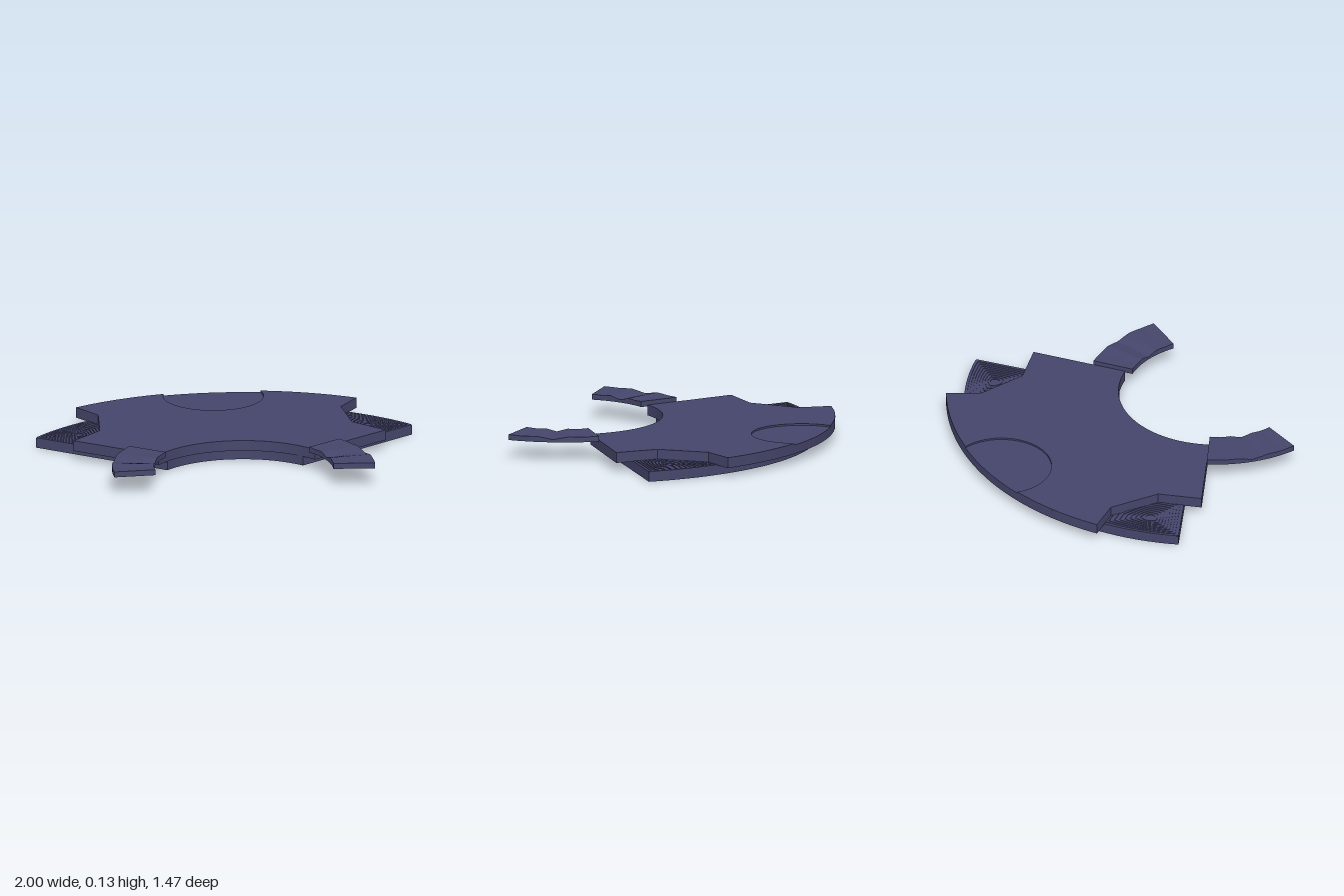
import * as THREE from 'three';

const material = new THREE.MeshStandardMaterial({ color: 0x45456b, flatShading: true });
const PIVOT = 0.685; // z of the centre shared by the upper plate and the arms

// points [x, z] along a circle centred on (0, cz), on its back half, from x0 to x1
function arc(cz, r, x0, x1, n = 40) {
  const a0 = Math.asin(x0 / r), a1 = Math.asin(x1 / r);
  return Array.from({ length: n + 1 }, (_, i) => {
    const a = a0 + ((a1 - a0) * i) / n;
    return [r * Math.sin(a), cz - r * Math.cos(a)];
  });
}

const mirror = (pts) => pts.map(([x, z]) => [-x, z]).reverse();

function add(group, name, geometry) {
  const mesh = new THREE.Mesh(geometry, material);
  mesh.name = name;
  group.add(mesh);
}

// flat plate with the given [x, z] outline between two heights
function plate(points, y0, y1) {
  const shape = new THREE.Shape(points.map(([x, z]) => new THREE.Vector2(x, -z)));
  const g = new THREE.ExtrudeGeometry(shape, { depth: y1 - y0, bevelEnabled: false });
  return g.rotateX(-Math.PI / 2).translate(0, y0, 0);
}

// distance from a centre to an outline in direction (dx, dz)
function reach(outline, cx, cz, dx, dz) {
  let best = Infinity;
  outline.forEach(([ax, az], i) => {
    const [bx, bz] = outline[(i + 1) % outline.length];
    const ex = bx - ax, ez = bz - az, det = dx * ez - dz * ex;
    if (Math.abs(det) < 1e-9) return;
    const t = ((ax - cx) * ez - (az - cz) * ex) / det;
    const u = ((ax - cx) * dz - (az - cz) * dx) / det;
    if (t > 0 && u >= -1e-6 && u <= 1 + 1e-6) best = Math.min(best, t);
  });
  return best;
}

// concentric ribs, round at the centre and following the wing outline further out
function ribbedWing(side) {
  const outline = [...arc(0.649, 1.3, 0.66, 1, 12), [0.74, 0.02], [0.6, -0.1], [0.6, -0.38]];
  const cx = 0.768, cz = -0.21, r0 = 0.025, low = 0.047, high = 0.055, ribs = 9, n = 96;
  const profile = [[0, low]];
  for (let i = 0; i < ribs; i++) {
    const t = i / ribs, end = i === ribs - 1 ? 1 : t + 0.75 / ribs;
    profile.push([t, high], [end, high], [end, low]);
    if (i < ribs - 1) profile.push([(i + 1) / ribs, low]);
  }
  const pos = [], index = [];
  for (const [t, y] of profile) {
    for (let j = 0; j < n; j++) {
      const a = (j / n) * Math.PI * 2, dx = Math.cos(a), dz = Math.sin(a);
      const r = r0 + t * (reach(outline, cx, cz, dx, dz) - r0);
      pos.push(side * (cx + r * dx), y, cz + r * dz);
    }
  }
  for (let i = 0; i < profile.length - 1; i++) {
    for (let j = 0; j < n; j++) {
      const a = i * n + j, d = i * n + ((j + 1) % n), b = a + n, c = d + n;
      if (side > 0) index.push(a, c, b, a, d, c);
      else index.push(a, b, c, a, c, d);
    }
  }
  const g = new THREE.BufferGeometry();
  g.setAttribute('position', new THREE.Float32BufferAttribute(pos, 3));
  g.setIndex(index);
  const flat = g.toNonIndexed();
  flat.computeVertexNormals();
  return flat;
}

// one curved segment of an arm: a box bent around the pivot, with an optional dip
function armSegment(side, from, to, dip) {
  const g = new THREE.BoxGeometry(1, 1, 1, 1, 1, 8);
  const p = g.attributes.position;
  for (let i = 0; i < p.count; i++) {
    const u = p.getZ(i) + 0.5;
    const a = THREE.MathUtils.degToRad(from + (to - from) * u);
    const r = 0.584 + side * p.getX(i) * 0.22;
    const y = p.getY(i) > 0 ? 0.13 - dip * (1 - Math.abs(2 * u - 1)) : 0.1;
    p.setXYZ(i, side * r * Math.cos(a), y, PIVOT - r * Math.sin(a));
  }
  g.computeVertexNormals();
  return g;
}

export function createModel() {
  const model = new THREE.Group();

  // lower fan-shaped slab
  const lower = [...arc(0.649, 1.3, -1, 1), ...arc(0.65, 0.495, 0.36, -0.36)];
  add(model, 'lowerSlab', plate(lower, 0, 0.051));

  // upper slab with notched sides, and a top layer leaving a round shallow recess at the back
  const notch = [[0.645, -0.38], [0.67, -0.1], [0.83, 0.07]];
  const rest = [...notch, ...arc(PIVOT, 0.515, 0.415, -0.415), ...mirror(notch)];
  add(model, 'upperSlab', plate([...arc(PIVOT, 1.425, -0.745, 0.745), ...rest], 0.051, 0.098));

  const recess = [];
  const tip = 0.235;
  for (let i = 0; i <= 32; i++) {
    const a = Math.PI + tip - ((Math.PI + 2 * tip) * i) / 32;
    recess.push([0.265 * Math.cos(a), -0.655 + 0.265 * Math.sin(a)]);
  }
  const cover = [...arc(PIVOT, 1.425, -0.745, -0.262, 16), ...recess,
    ...arc(PIVOT, 1.425, 0.262, 0.745, 16), ...rest];
  add(model, 'topLayer', plate(cover, 0.098, 0.107));

  // ribbed wings and curved front arms on both sides
  for (const side of [1, -1]) {
    const label = side > 0 ? 'left' : 'right';
    add(model, label + 'RibbedWing', ribbedWing(side));
    const arm = new THREE.Group();
    arm.name = label + 'Arm';
    [[36.3, 23, 0.003], [23, 9, 0.015], [9, -4, 0.003]].forEach(([from, to, dip], i) =>
      add(arm, 'armSegment' + (i + 1), armSegment(side, from, to, dip)));
    model.add(arm);
  }
  return model;
}
